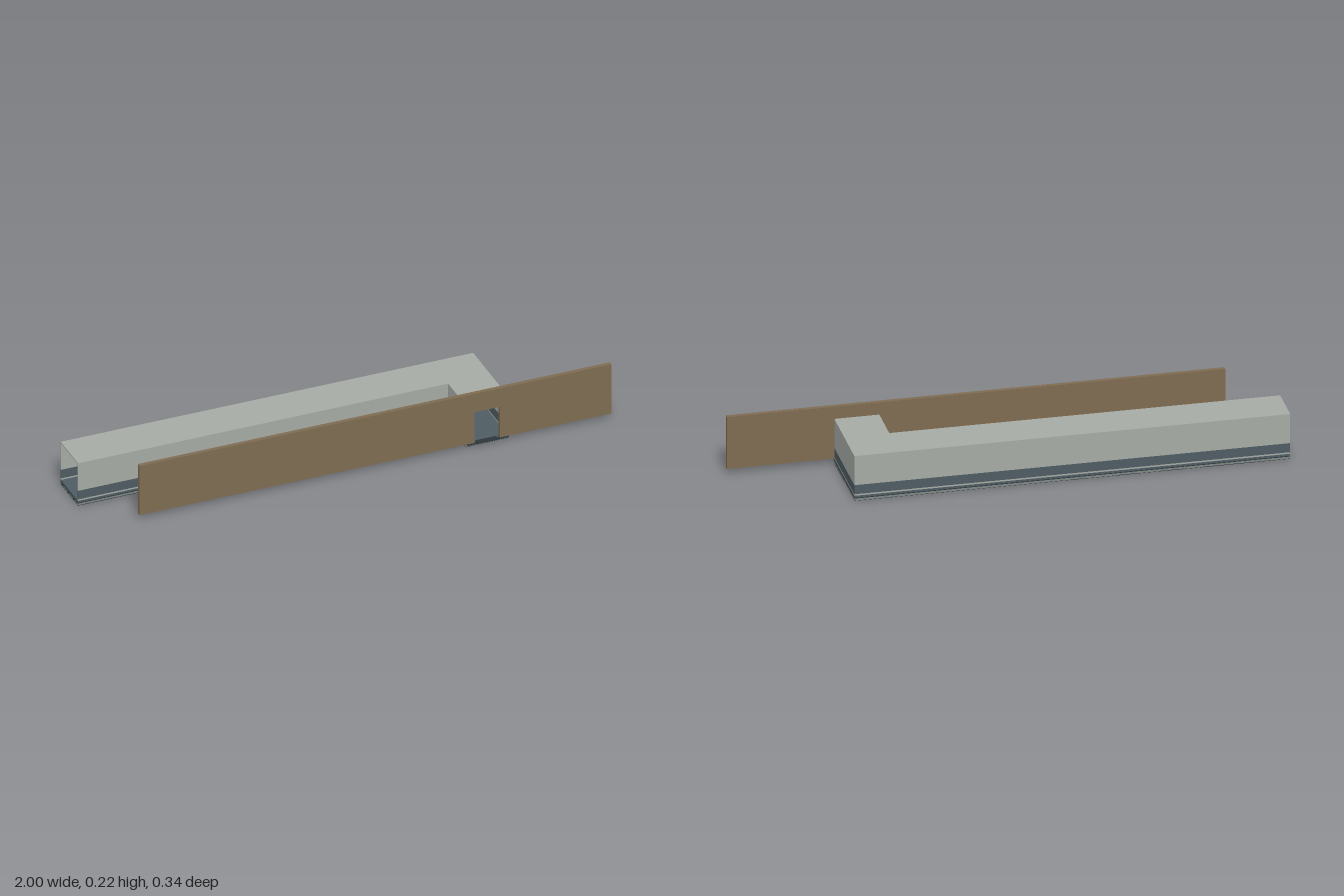
import * as THREE from 'three';

const mat = (name, color, side = THREE.FrontSide) => {
  const m = new THREE.MeshStandardMaterial({ color, side });
  m.name = name;
  return m;
};

export function createModel() {
  const group = new THREE.Group();
  const cladding = mat('light grey cladding', 0xa6aba5);
  const glass = mat('slate window band', 0x4e5c63);
  const skirt = mat('grey skirt', 0x7e8684);
  const dark = mat('dark underside', 0x2d383c);
  const timber = mat('brown wall', 0x7e6c51);

  // Corridor plan: long run along x, short arm towards +z
  const x0 = -0.995, xi = 0.44, x1 = 0.605, zb = -0.172, zi = -0.01, zf = 0.15, t = 0.004;
  const plan = pts => new THREE.Shape(pts.map(([x, z]) => new THREE.Vector2(x, -z)));
  const outerWall = plan([[x0, zb], [x1, zb], [x1, zf], [x1 - t, zf], [x1 - t, zb + t], [x0, zb + t]]);
  const innerWall = plan([[x0, zi], [xi, zi], [xi, zf], [xi + t, zf], [xi + t, zi - t], [x0, zi - t]]);
  const footprint = plan([[x0, zb], [x1, zb], [x1, zf], [xi, zf], [xi, zi], [x0, zi]]);

  const add = (name, geometry, material) => {
    const mesh = new THREE.Mesh(geometry, material);
    mesh.name = name;
    group.add(mesh);
    return mesh;
  };
  const slab = (name, shapes, y0, y1, material) => {
    const g = new THREE.ExtrudeGeometry(shapes, { depth: y1 - y0, bevelEnabled: false });
    g.rotateX(-Math.PI / 2).translate(0, y0, 0);
    return add(name, g, material);
  };
  const box = (name, xa, xb, ya, yb, za, zc, material) => {
    const g = new THREE.BoxGeometry(xb - xa, yb - ya, zc - za);
    g.translate((xa + xb) / 2, (ya + yb) / 2, (za + zc) / 2);
    return add(name, g, material);
  };

  // Stacked wall courses, open at the -x end and at the doorway
  const walls = [outerWall, innerWall];
  slab('lowerWall', walls, 0.02, 0.026, cladding);
  slab('windowBand', walls, 0.026, 0.062, glass);
  slab('upperWall', walls, 0.062, 0.172, cladding);
  slab('roof', footprint, 0.172, 0.177, cladding);

  // Floor build-up
  slab('floorDeck', footprint, 0.012, 0.02, glass);
  slab('floorJoint', footprint, 0.009, 0.012, dark);
  slab('skirt', footprint, 0.001, 0.009, skirt);

  // Underside panels
  const count = 10, step = (x1 - x0) / count;
  for (let i = 0; i < count; i++) {
    box('undersidePanel', x0 + i * step, x0 + (i + 1) * step - 0.001, 0, 0.002, zb, zi, dark);
  }
  box('armUndersidePanel', xi, x1, 0, 0.002, zi + 0.001, zf, dark);

  // Small lugs at the open end
  for (const z of [-0.145, -0.092, -0.04]) {
    box('endLug', -1, x0, 0.01, 0.014, z - 0.005, z + 0.005, dark);
  }

  // Long facade wall with a doorway notch
  const facade = new THREE.Shape([
    [-0.83, 0.02], [0.47, 0.02], [0.47, 0.148], [0.568, 0.148],
    [0.568, 0.02], [1, 0.02], [1, 0.225], [-0.83, 0.225],
  ].map(([x, y]) => new THREE.Vector2(x, y)));
  const facadeGeo = new THREE.ExtrudeGeometry(facade, { depth: 0.016, bevelEnabled: false });
  facadeGeo.translate(0, 0, zf);
  add('facadeWall', facadeGeo, timber);

  // Threshold and sill below the doorway
  box('threshold', xi + 0.005, x1, 0.01, 0.013, zf, 0.161, dark);
  box('doorSill', 0.48, 0.558, 0.016, 0.02, zf, 0.171, dark);

  return group;
}
